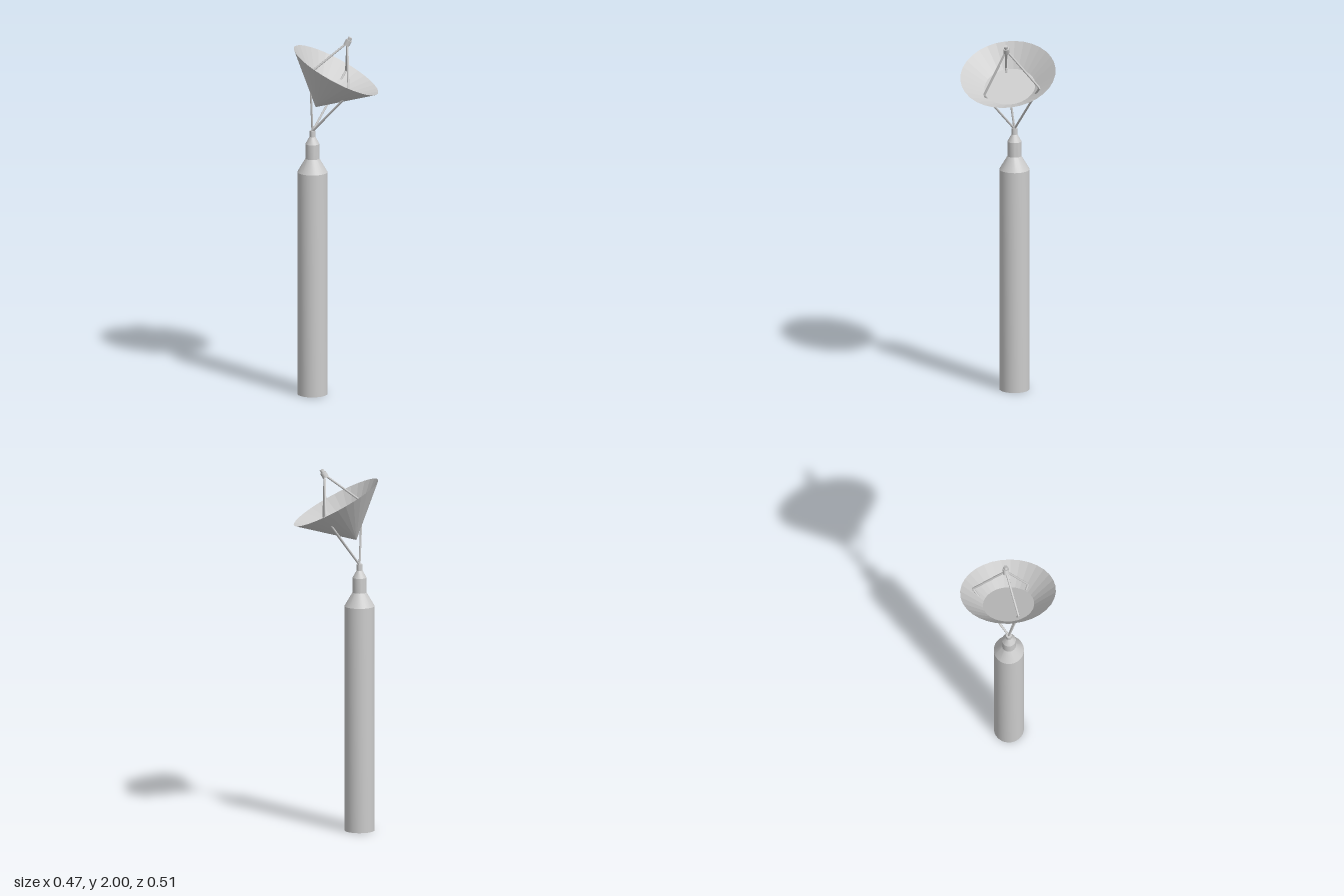
import * as THREE from 'three';
import { toCreasedNormals } from 'three/addons/utils/BufferGeometryUtils.js';

const smooth = new THREE.MeshStandardMaterial({ color: 0xcccccc, side: THREE.DoubleSide });
const faceted = new THREE.MeshStandardMaterial({ color: 0xcccccc, side: THREE.DoubleSide, flatShading: true });
const UP = new THREE.Vector3(0, 1, 0);
const vec = (x, y, z) => new THREE.Vector3(x, y, z);

function lathe(name, profile, sides, material) {
  const points = profile.map(([r, y]) => new THREE.Vector2(r, y));
  const geometry = toCreasedNormals(new THREE.LatheGeometry(points, sides), 0.4);
  const mesh = new THREE.Mesh(geometry, material);
  mesh.name = name;
  return mesh;
}

// Round rod between two points
function rod(name, a, b, radius) {
  const mesh = new THREE.Mesh(new THREE.CylinderGeometry(radius, radius, a.distanceTo(b), 8), smooth);
  mesh.position.copy(a).lerp(b, 0.5);
  mesh.quaternion.setFromUnitVectors(UP, b.clone().sub(a).normalize());
  mesh.name = name;
  return mesh;
}

export function createModel() {
  const model = new THREE.Group();
  model.name = 'dishAntenna';

  // Stepped column
  const column = lathe('column', [
    [0, 0], [0.082, 0], [0.082, 1.243], [0.038, 1.318], [0.038, 1.4],
    [0.016, 1.44], [0.016, 1.474], [0, 1.474],
  ], 32, smooth);
  column.position.set(-0.112, 0, -0.062);
  model.add(column);

  // Tilted conical dish with a flat floor; its origin is the rim centre
  const axis = vec(0.42, 0.88, 0.21).normalize();
  const dish = lathe('dish', [[0, -0.235], [0.26, 0], [0.139, -0.093], [0, -0.093]], 32, faceted);
  dish.position.set(0, 1.814, 0);
  dish.quaternion.setFromUnitVectors(UP, axis);
  model.add(dish);

  // Feed horn with a narrower tip
  const feed = lathe('feed', [
    [0, -0.025], [0.017, -0.025], [0.017, 0.008], [0.011, 0.008], [0.011, 0.024], [0, 0.024],
  ], 16, smooth);
  feed.position.set(0.063, 1.975, 0.024);
  feed.quaternion.setFromUnitVectors(UP, axis);
  model.add(feed);

  // Three mounts on the dish, each joined to the column top and to the feed
  const mounts = [vec(-0.145, 1.81, -0.022), vec(0.128, 1.765, -0.145), vec(0.012, 1.71, 0.135)];
  const columnTop = vec(-0.112, 1.47, -0.062);
  const feedBase = vec(0.058, 1.968, 0.022);
  mounts.forEach((mount, i) => {
    model.add(rod(`support${i + 1}`, columnTop, mount, 0.006));
    model.add(rod(`feedStrut${i + 1}`, mount, feedBase, 0.006));
  });

  return model;
}
